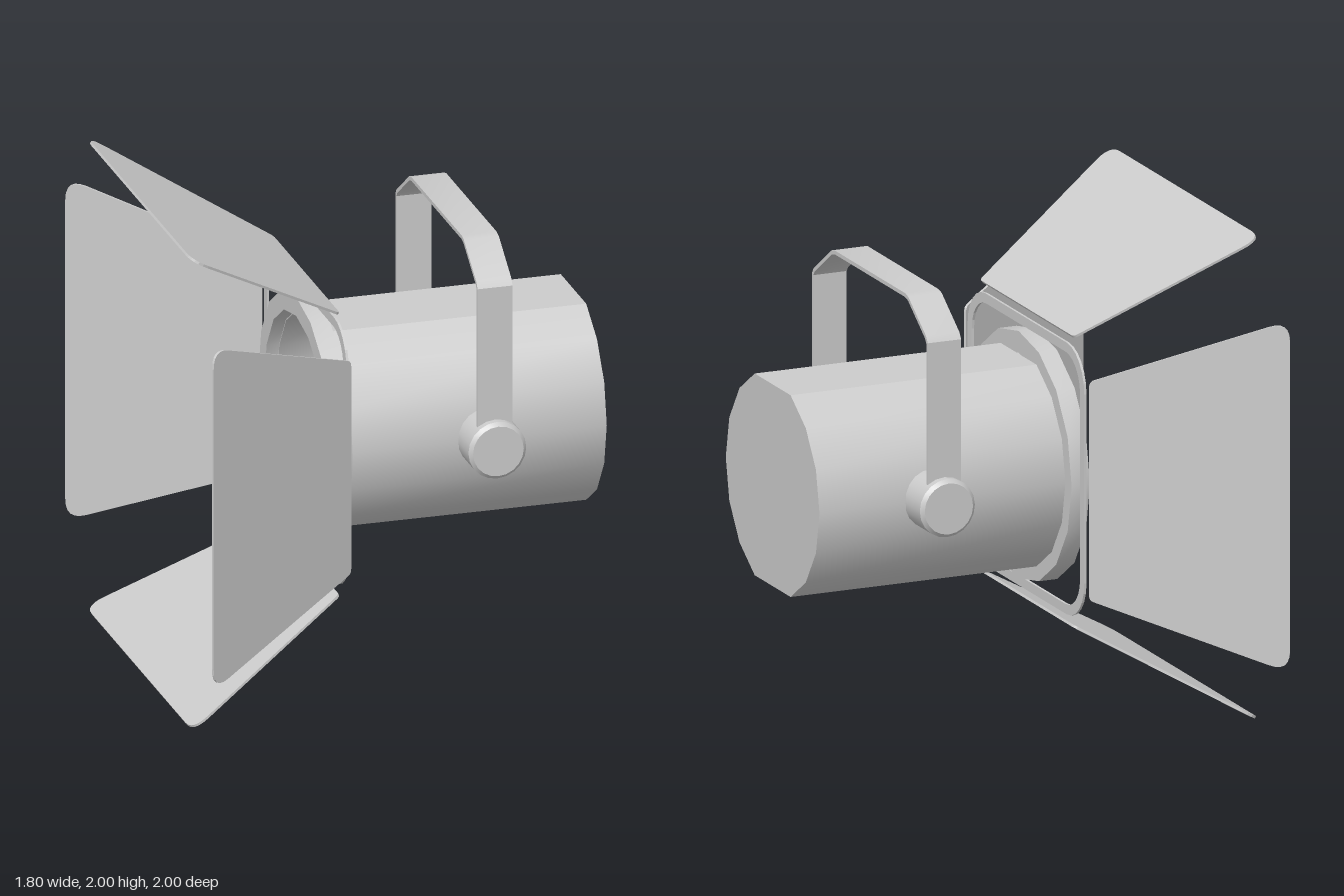
import * as THREE from 'three';
import { toCreasedNormals } from 'three/addons/utils/BufferGeometryUtils.js';

const material = new THREE.MeshStandardMaterial({ color: 0xcccccc });
const AXIS_Y = 1; // height of the lamp axis

function addMesh(parent, name, geometry) {
  const mesh = new THREE.Mesh(geometry, material);
  mesh.name = name;
  parent.add(mesh);
  return mesh;
}

// Sweep an [x, radius] profile around the x axis through the given angles
function turned(profile, angles) {
  const positions = [];
  const point = (i, j) => {
    const [x, r] = profile[i];
    const a = angles[j % angles.length];
    return [x, r * Math.sin(a), r * Math.cos(a)];
  };
  for (let i = 0; i < profile.length - 1; i++) {
    for (let j = 0; j < angles.length; j++) {
      const a = point(i, j), b = point(i, j + 1);
      const c = point(i + 1, j), d = point(i + 1, j + 1);
      if (profile[i][1] > 0) positions.push(...a, ...b, ...c);
      if (profile[i + 1][1] > 0) positions.push(...b, ...d, ...c);
    }
  }
  const geometry = new THREE.BufferGeometry();
  geometry.setAttribute('position', new THREE.Float32BufferAttribute(positions, 3));
  return toCreasedNormals(geometry, Math.PI / 6);
}

const ringAngles = (n) => Array.from({ length: n }, (_, i) => (i / n) * Math.PI * 2);

// Rounded square outline, centred on the origin
function roundedSquare(Type, h, r) {
  const s = new Type();
  const k = h - r;
  s.moveTo(h, -k);
  s.lineTo(h, k);
  s.absarc(k, k, r, 0, Math.PI / 2);
  s.lineTo(-k, h);
  s.absarc(-k, k, r, Math.PI / 2, Math.PI);
  s.lineTo(-h, -k);
  s.absarc(-k, -k, r, Math.PI, Math.PI * 1.5);
  s.lineTo(k, -h);
  s.absarc(k, -k, r, Math.PI * 1.5, Math.PI * 2);
  return s;
}

// Trapezoid with softly rounded corners, narrow edge at y = 0
function flapShape() {
  const corners = [[-0.45, 0, 0.02], [0.45, 0, 0.02], [0.725, 0.8, 0.09], [-0.725, 0.8, 0.09]]
    .map(([x, y, r]) => ({ p: new THREE.Vector2(x, y), r }));
  const shape = new THREE.Shape();
  corners.forEach(({ p, r }, i) => {
    const toward = (q) => p.clone().add(q.clone().sub(p).setLength(r));
    const start = toward(corners[(i + 3) % 4].p);
    const end = toward(corners[(i + 1) % 4].p);
    if (i === 0) shape.moveTo(start.x, start.y);
    else shape.lineTo(start.x, start.y);
    shape.quadraticCurveTo(p.x, p.y, end.x, end.y);
  });
  return shape;
}

export function createModel() {
  const model = new THREE.Group();
  model.name = 'stageLight';

  // Everything turned or mounted around the lamp axis
  const lamp = new THREE.Group();
  lamp.name = 'lamp';
  lamp.position.y = AXIS_Y;
  model.add(lamp);

  // Housing: 16 sides, with one wide flat on the top and the bottom
  const angles16 = ringAngles(16);
  const housingAngles = angles16.filter((_, i) => i !== 4 && i !== 12);
  addMesh(lamp, 'housing', turned(
    [[0.9, 0], [0.9, 0.45], [-0.2, 0.45], [-0.2, 0.42], [0.02, 0.42], [0.02, 0]], housingAngles));

  // Front rim
  addMesh(lamp, 'frontRim', turned(
    [[-0.17, 0.42], [-0.17, 0.51], [-0.25, 0.51], [-0.25, 0.43], [-0.17, 0.42]], angles16));

  // Thin filter frame around the rim
  const frame = roundedSquare(THREE.Shape, 0.56, 0.17);
  frame.holes.push(roundedSquare(THREE.Path, 0.52, 0.14));
  const frameGeometry = new THREE.ExtrudeGeometry(frame, { depth: 0.01, bevelEnabled: false, curveSegments: 3 });
  frameGeometry.rotateY(Math.PI / 2).translate(-0.212, 0, 0);
  addMesh(lamp, 'filterFrame', frameGeometry);

  // Four flaps, tilted outward by 30 degrees
  const flap = new THREE.ExtrudeGeometry(flapShape(), { depth: 0.01, bevelEnabled: false, curveSegments: 6 });
  flap.rotateY(-Math.PI / 2).rotateZ(Math.PI / 3).translate(-0.205, 0.6, 0);
  ['topFlap', 'leftFlap', 'bottomFlap', 'rightFlap'].forEach((name, i) => {
    addMesh(lamp, name, flap).rotation.x = (i * Math.PI) / 2;
  });

  // Clamping knobs on both sides
  const knob = turned([[0.6, 0], [0.6, 0.105], [0.585, 0.12], [0.4, 0.12], [0.4, 0]], ringAngles(20));
  for (const side of [1, -1]) {
    const mesh = addMesh(lamp, side > 0 ? 'frontKnob' : 'backKnob', knob);
    mesh.rotation.y = -side * Math.PI / 2;
    mesh.position.x = 0.405;
  }

  // Bent strap forming the yoke
  const outer = [[0.557, 1.09], [0.557, 1.68], [0.54, 1.705], [0.37, 1.822], [0.34, 1.83]];
  const inner = [[0.542, 1.09], [0.542, 1.675], [0.53, 1.693], [0.365, 1.807], [0.336, 1.814]];
  const mirrored = (points) => points.map(([z, y]) => [-z, y]).reverse();
  const outline = [...outer, ...mirrored(outer), ...[...inner, ...mirrored(inner)].reverse()];
  const yoke = new THREE.ExtrudeGeometry(
    new THREE.Shape(outline.map(([z, y]) => new THREE.Vector2(z, y))), { depth: 0.145, bevelEnabled: false });
  yoke.rotateY(Math.PI / 2).translate(0.332, 0, 0);
  addMesh(model, 'yoke', toCreasedNormals(yoke, Math.PI / 6));

  return model;
}
